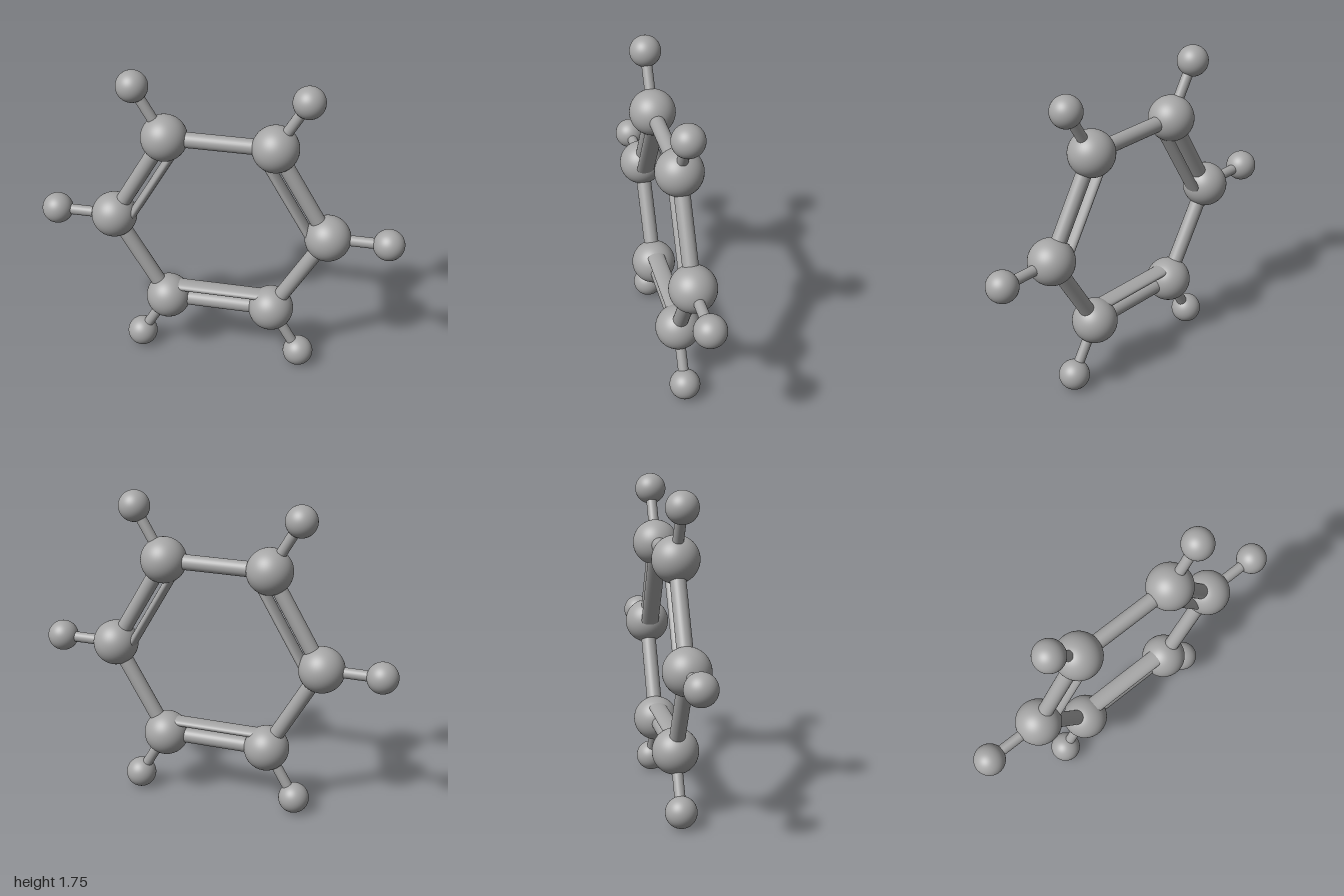
import * as THREE from 'three';

const CENTER_Y = 0.877;
const RING_R = 0.59;    // centre to large atoms
const OUTER_R = 0.915;  // centre to small atoms

export function createModel() {
  const model = new THREE.Group();
  model.name = 'ringMolecule';
  const grey = new THREE.MeshStandardMaterial({ color: 0xa6a6a6 });
  grey.name = 'grey';

  const polar = (radius, angle) =>
    new THREE.Vector3(radius * Math.cos(angle), CENTER_Y + radius * Math.sin(angle), 0);

  const addAtom = (name, radius, position) => {
    const atom = new THREE.Mesh(new THREE.SphereGeometry(radius, 48, 32), grey);
    atom.name = name;
    atom.position.copy(position);
    model.add(atom);
  };

  // Rod between two points in the ring plane; depth is its half thickness in z
  const addRod = (name, from, to, radius, depth = radius) => {
    const span = to.clone().sub(from);
    const geometry = new THREE.CylinderGeometry(1, 1, span.length(), 32);
    geometry.scale(radius, 1, depth);
    const rod = new THREE.Mesh(geometry, grey);
    rod.name = name;
    rod.position.copy(from).add(to).multiplyScalar(0.5);
    rod.rotation.z = Math.atan2(span.y, span.x) - Math.PI / 2;
    model.add(rod);
  };

  for (let i = 0; i < 6; i++) {
    const angle = (i * Math.PI) / 3;
    const here = polar(RING_R, angle);
    const next = polar(RING_R, angle + Math.PI / 3);
    const outer = polar(OUTER_R, angle);

    // Atoms and the spoke joining them
    addAtom('largeAtom', 0.125, here);
    addAtom('smallAtom', 0.085, outer);
    addRod('spokeBond', here, outer, 0.029);

    // Ring side, doubled on every other side by a flattened inner rod
    addRod('ringBond', here, next, 0.042);
    if (i % 2 === 0) {
      const mid = angle + Math.PI / 6;
      const inward = new THREE.Vector3(-Math.cos(mid), -Math.sin(mid), 0).multiplyScalar(0.083);
      addRod('innerBond', here.clone().add(inward), next.clone().add(inward), 0.024, 0.05);
    }
  }
  return model;
}
